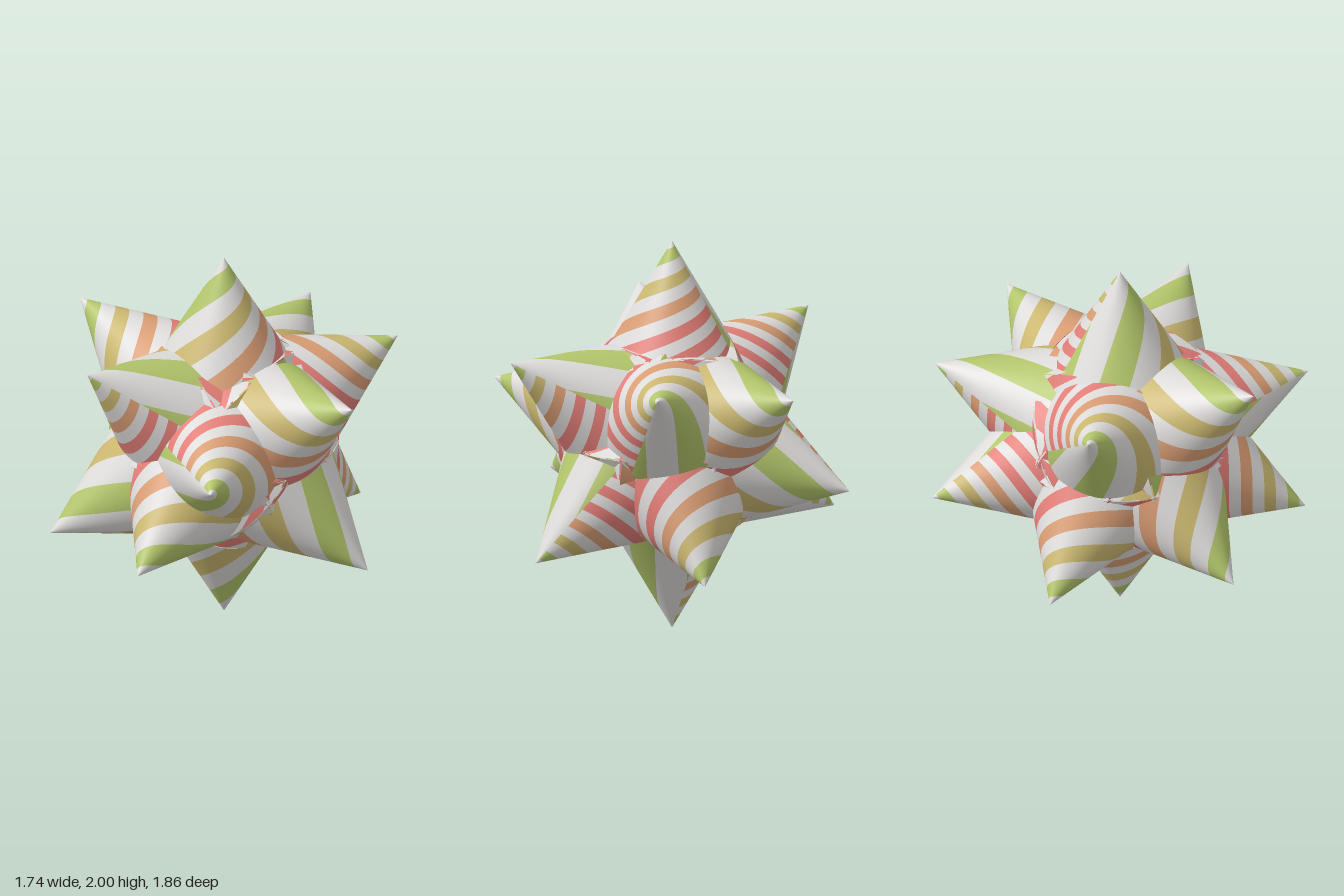
import * as THREE from 'three';

const paint = (name, hex) => {
  const m = new THREE.MeshStandardMaterial({ color: hex, side: THREE.DoubleSide });
  m.name = name;
  return m;
};

const SLANT = 1.15;            // length of the cone side
const HALF = Math.PI / 6;      // half angle at the tip
const SEGMENTS = 96;

// Stripe bands across the wrapped paper: a white one through the tip,
// then coloured and white in turn on both sides of it
const PERIOD = 0.15, WHITE = 0.076;
const stripeColour = [1, 2, 3, 4];   // green, olive, orange, then red

function stripeBands() {
  const bands = [[0, WHITE / 2, 0]];
  for (let i = 0; i < 11; i++) {
    const start = WHITE / 2 + i * PERIOD, end = start + PERIOD;
    bands.push([start, end - WHITE, stripeColour[Math.min(i, 3)]], [end - WHITE, end, 0]);
  }
  return bands;
}

// Open paper cone, tip at y = 1, seam towards +x; stripes spiral from straight
// across at one side of the seam to along it just before the other
const STREAK = Math.PI * 2 * 330 / 360;   // angle of the white streak down from the tip

function makeCone() {
  const pos = [], nor = [], byColour = [[], [], [], [], []];
  const vertex = (phi, s) => {
    const c = Math.cos(phi), n = Math.sin(phi), r = s * Math.sin(HALF);
    pos.push(r * c, 1 - s * Math.cos(HALF), r * n);
    nor.push(c * Math.cos(HALF), Math.sin(HALF), n * Math.cos(HALF));
    return pos.length / 3 - 1;
  };
  const reach = (phi, v) => {
    const steepness = 1.35 * Math.abs(1 - phi / STREAK);
    return Math.min(SLANT, v / Math.max(steepness, 1e-4));
  };
  for (const [v0, v1, colour] of stripeBands()) {
    for (let i = 0; i < SEGMENTS; i++) {
      const p = (i / SEGMENTS) * Math.PI * 2, q = ((i + 1) / SEGMENTS) * Math.PI * 2;
      if (reach(p, v0) >= SLANT && reach(q, v0) >= SLANT) continue;
      const a = vertex(p, reach(p, v0)), b = vertex(p, reach(p, v1));
      const c = vertex(q, reach(q, v1)), d = vertex(q, reach(q, v0));
      byColour[colour].push(a, d, c, a, c, b);
    }
  }
  const geo = new THREE.BufferGeometry();
  geo.setAttribute('position', new THREE.Float32BufferAttribute(pos, 3));
  geo.setAttribute('normal', new THREE.Float32BufferAttribute(nor, 3));
  geo.setIndex(byColour.flat());
  let start = 0;
  byColour.forEach((list, k) => {
    geo.addGroup(start, list.length, k);
    start += list.length;
  });
  return geo;
}

// Each cone: direction of the tip, and the way its seam faces
const CONES = [
  [[0, 1, 0], [-0.56, 0, -0.83]],
  [[0, -1, 0], [0.12, 0, -1]],
  [[0.86, 0.46, 0.17], [0, -0.1, -1]],
  [[-0.86, -0.46, -0.18], [0, -0.5, -1]],
  [[-0.84, 0.53, 0.01], [-0.3, -0.2, -1]],
  [[0.84, -0.53, -0.01], [0, 0.75, -0.65]],
  [[-0.33, 0.57, 0.74], [1, -0.2, 0.2]],
  [[0.33, -0.57, -0.74], [0.78, -0.6, 0.52]],
  [[0.47, 0.18, 0.86], [-1, 0.25, 0]],
  [[-0.47, -0.18, -0.86], [-0.2, 1, 0]],
  [[-0.58, -0.41, 0.69], [0.72, -0.62, 0.25]],
  [[0.58, 0.41, -0.69], [0.6, -1, 0.2]],
  [[0.08, -0.36, 0.92], [-0.5, -1, 0]],
  [[-0.08, 0.36, -0.92], [-1, -0.1, 0.2]],
];

export function createModel() {
  const star = new THREE.Group();
  star.name = 'paperStar';
  const materials = [
    paint('white', 0xdedcda), paint('green', 0xb2c56b), paint('olive', 0xcab770),
    paint('orange', 0xd99d74), paint('red', 0xe37e78),
  ];
  const cone = makeCone();
  CONES.forEach(([tip, seam], i) => {
    const y = new THREE.Vector3(...tip).normalize();
    const x = new THREE.Vector3(...seam);
    x.addScaledVector(y, -x.dot(y)).normalize();
    const z = new THREE.Vector3().crossVectors(x, y);
    const mesh = new THREE.Mesh(cone, materials);
    mesh.name = `stripedCone${i + 1}`;
    mesh.quaternion.setFromRotationMatrix(new THREE.Matrix4().makeBasis(x, y, z));
    mesh.position.y = 1;
    star.add(mesh);
  });
  return star;
}
